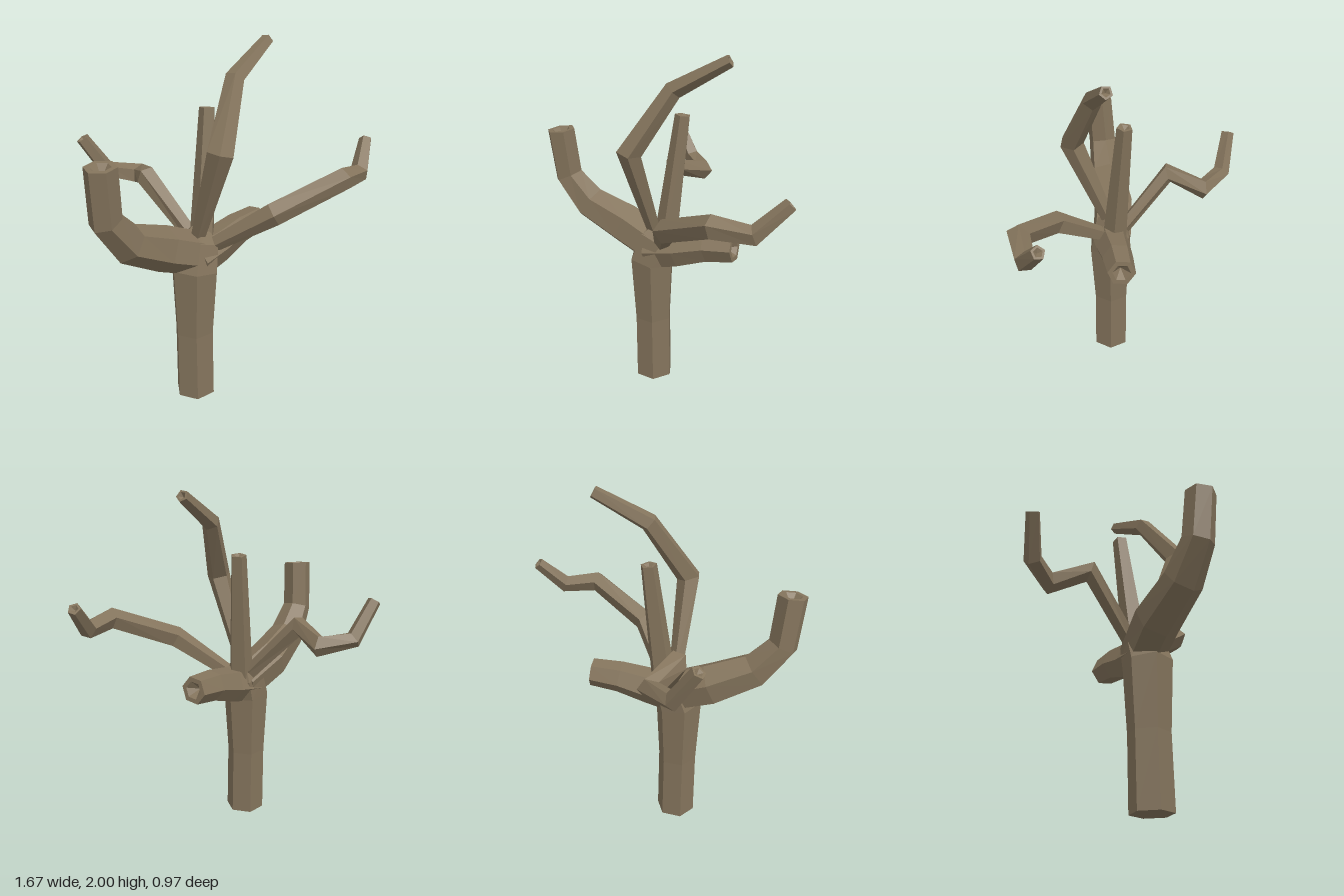
import * as THREE from 'three';

const bark = new THREE.MeshStandardMaterial({ color: 0x84745c, flatShading: true });

// Faceted limb through [x, y, z, radius] stations. The tip is a rim around a pit of depth `pit`.
function limb(name, stations, sides, phase = 0, pit = 0) {
  const pts = stations.map(s => new THREE.Vector3(s[0], s[1], s[2]));
  const n = pts.length;
  const dir = i => pts[i + 1].clone().sub(pts[i]).normalize();
  const first = dir(0);
  const side = Math.abs(first.y) > 0.9 ? new THREE.Vector3(1, 0, 0) : new THREE.Vector3(0, 1, 0);
  const pos = [], idx = [];
  const ring = (c, t, r) => {
    side.addScaledVector(t, -side.dot(t)).normalize();
    const up = new THREE.Vector3().crossVectors(t, side);
    for (let k = 0; k < sides; k++) {
      const a = phase + (k / sides) * Math.PI * 2;
      const p = c.clone().addScaledVector(side, Math.cos(a) * r).addScaledVector(up, Math.sin(a) * r);
      pos.push(p.x, p.y, p.z);
    }
  };
  pts.forEach((p, i) => {
    const t = i === 0 ? first.clone() : i === n - 1 ? dir(n - 2) : dir(i - 1).add(dir(i)).normalize();
    ring(p, t, stations[i][3]);
  });
  // inner rim of the broken tip
  const end = dir(n - 2);
  ring(pts[n - 1], end, stations[n - 1][3] * 0.65);
  for (let i = 0; i < n; i++) {
    for (let k = 0; k < sides; k++) {
      const a = i * sides + k, b = i * sides + (k + 1) % sides;
      idx.push(a, b, b + sides, a, b + sides, a + sides);
    }
  }
  // bottom of the pit and closed base
  const bottom = pts[n - 1].clone().addScaledVector(end, -pit);
  const tip = pos.length / 3;
  pos.push(...bottom.toArray(), ...pts[0].toArray());
  for (let k = 0; k < sides; k++) {
    const j = (k + 1) % sides;
    idx.push(n * sides + k, n * sides + j, tip, j, k, tip + 1);
  }
  const geo = new THREE.BufferGeometry();
  geo.setAttribute('position', new THREE.Float32BufferAttribute(pos, 3));
  geo.setIndex(idx);
  const flat = geo.toNonIndexed();
  flat.computeVertexNormals();
  const mesh = new THREE.Mesh(flat, bark);
  mesh.name = name;
  return mesh;
}

export function createModel() {
  const tree = new THREE.Group();
  tree.name = 'bareTree';
  tree.add(
    // trunk, narrowing into the crotch
    limb('trunk', [
      [-0.24, 0, 0.165, 0.115], [-0.24, 0.4, 0.16, 0.113],
      [-0.235, 0.78, 0.16, 0.135], [-0.2, 0.92, 0.13, 0.12], [-0.18, 1.0, 0.1, 0.05],
    ], 6, 0.3),
    // two thick sawn-off limbs
    limb('rightLimb', [
      [-0.18, 0.85, 0.13, 0.12], [-0.42, 0.95, 0.2, 0.125], [-0.63, 1.06, 0.31, 0.105],
      [-0.745, 1.22, 0.375, 0.085], [-0.757, 1.5, 0.4, 0.082],
    ], 6, 0.2, 0.06),
    limb('leftLimb', [
      [-0.24, 0.84, 0.16, 0.12], [-0.08, 0.87, 0.09, 0.105], [0.08, 0.915, 0.01, 0.09], [0.23, 0.93, -0.06, 0.08],
    ], 6, 0.4, 0.06),
    // thin branches
    limb('tallBranch', [
      [-0.21, 0.97, 0.16, 0.04], [-0.155, 1.48, 0.355, 0.07],
      [-0.005, 1.81, 0.17, 0.052], [0.245, 1.97, 0.01, 0.035],
    ], 5, 0.5, 0.02),
    limb('straightBranch', [
      [-0.17, 0.86, 0.11, 0.075], [-0.1, 1.64, 0.025, 0.045],
    ], 5, 0.2, 0.02),
    limb('longBranch', [
      [-0.17, 0.88, 0.14, 0.04], [0.14, 1.125, 0.36, 0.066], [0.53, 1.28, 0.39, 0.062],
      [0.7, 1.26, 0.28, 0.053], [0.805, 1.41, 0.155, 0.037],
    ], 5, 0.3, 0.02),
    limb('backBranch', [
      [-0.19, 0.9, 0.09, 0.042], [-0.4, 1.24, -0.15, 0.06], [-0.38, 1.18, -0.37, 0.062],
      [-0.56, 1.21, -0.44, 0.05], [-0.69, 1.41, -0.44, 0.038],
    ], 5, 0.1, 0.02),
  );
  return tree;
}
